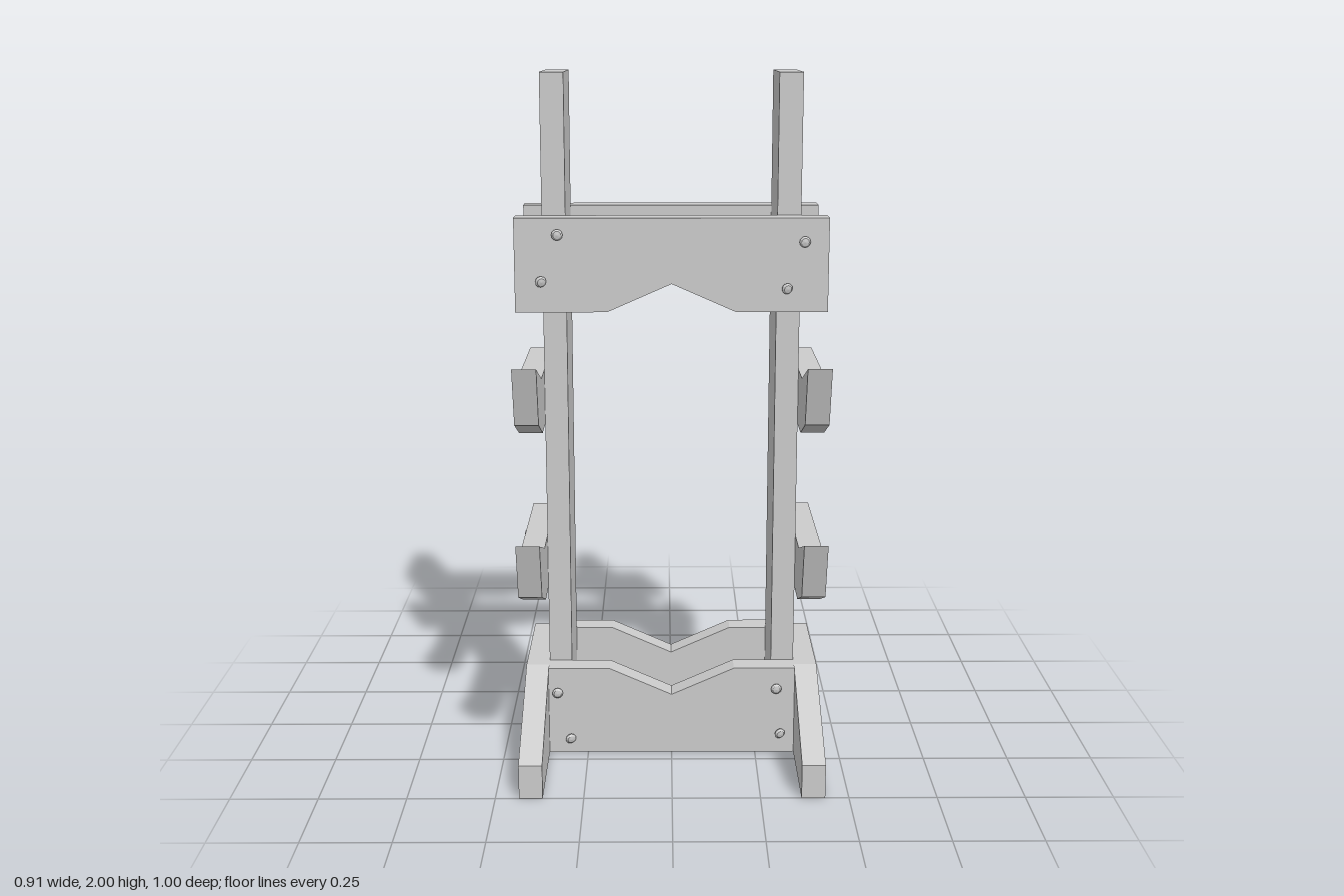
import * as THREE from 'three';

const T = 0.067; // board thickness
const POST_IN = 0.299, POST_OUT = 0.366, HALF_DEPTH = 0.133;

export function createModel() {
  const model = new THREE.Group();
  model.name = 'rack';
  const mat = new THREE.MeshStandardMaterial({ color: 0xcccccc, flatShading: true });

  // Flat board cut from an outline, thickness running along +z
  const board = (points) => new THREE.ExtrudeGeometry(
    new THREE.Shape(points.map(([a, b]) => new THREE.Vector2(a, b))),
    { depth: T, bevelEnabled: false });

  const add = (geometry, name, x = 0, y = 0, z = 0) => {
    const mesh = new THREE.Mesh(geometry, mat);
    mesh.name = name;
    mesh.position.set(x, y, z);
    model.add(mesh);
    return mesh;
  };

  // Outlines of the side boards are given as (z, y)
  const foot = board([[-0.5, 0], [0.5, 0], [0.5, 0.1], [0.17, 0.268], [-0.17, 0.268], [-0.5, 0.1]])
    .rotateY(-Math.PI / 2).translate(T / 2, 0, 0);
  const arm = board([[-0.2, 0.003], [0.24, 0], [0.38, 0.057], [0.432, 0.225], [0.25, 0.16], [-0.2, 0.16]])
    .rotateY(-Math.PI / 2).translate(T / 2, 0, 0);
  const post = new THREE.BoxGeometry(POST_OUT - POST_IN, 2, HALF_DEPTH * 2);

  for (const [s, side] of [[1, 'left'], [-1, 'right']]) {
    add(post, side + 'Post', s * (POST_IN + POST_OUT) / 2, 1, 0);
    const x = s * (POST_OUT + T / 2);
    add(foot, side + 'Foot', x);
    add(arm, side + 'LowerArm', x, 0.5);
    add(arm, side + 'UpperArm', x, 1.0);
  }

  // Cross boards with a shallow V notch
  const lowerBeam = board([[-POST_OUT, 0], [POST_OUT, 0], [POST_OUT, 0.268], [0.185, 0.268],
    [0, 0.185], [-0.185, 0.268], [-POST_OUT, 0.268]]);
  const upperBeam = board([[-0.44, 1.34], [-0.182, 1.34], [0, 1.42], [0.182, 1.34],
    [0.44, 1.34], [0.44, 1.605], [-0.44, 1.605]]);
  for (const [z, face] of [[HALF_DEPTH, 'front'], [-HALF_DEPTH - T, 'back']]) {
    add(lowerBeam, face + 'LowerBeam', 0, 0, z);
    add(upperBeam, face + 'UpperBeam', 0, 0, z);
  }

  // Screw pointing along +z: thin shank and a round, slightly domed head
  const shank = new THREE.CylinderGeometry(0.005, 0.005, 0.03, 8).rotateX(Math.PI / 2);
  const head = new THREE.LatheGeometry([[0, 0.008], [0.015, 0.008], [0.016, 0.012], [0.011, 0.017], [0, 0.019]]
    .map(([r, h]) => new THREE.Vector2(r, h)), 12).rotateX(Math.PI / 2);
  let count = 0;
  const screw = (x, y, z, turn) => {
    const g = new THREE.Group();
    g.name = 'screw';
    for (const geo of [shank, head]) g.add(new THREE.Mesh(geo, mat));
    g.position.set(x, y, z);
    // Each screw leans a little differently
    const lean = count++ % 2 ? 0.35 : 0.1;
    g.rotation.set(lean * 0.5, turn + lean, 0, 'YXZ');
    model.add(g);
  };

  // Screws in the cross boards
  const frontScrews = [[-0.32, 1.56], [-0.37, 1.43], [0.37, 1.54], [0.32, 1.41],
    [-0.34, 0.195], [-0.305, 0.05], [0.31, 0.207], [0.32, 0.065]];
  const backScrews = [[0.32, 1.545], [0.32, 1.41], [-0.33, 1.55], [-0.31, 1.41],
    [0.32, 0.2], [0.32, 0.06], [-0.33, 0.2], [-0.31, 0.06]];
  for (const [x, y] of frontScrews) screw(x, y, HALF_DEPTH + T, 0);
  for (const [x, y] of backScrews) screw(x, y, -HALF_DEPTH - T, Math.PI);

  // Screws in the arms and feet, in opposite order on the two sides
  for (const s of [1, -1]) {
    for (const [z, y] of [[0.085, 1.1], [-0.045, 1.05], [0.085, 0.595], [-0.045, 0.545], [0.07, 0.148], [-0.06, 0.098]])
      screw(s * (POST_OUT + T), y, s * z, s * Math.PI / 2);
  }
  return model;
}
